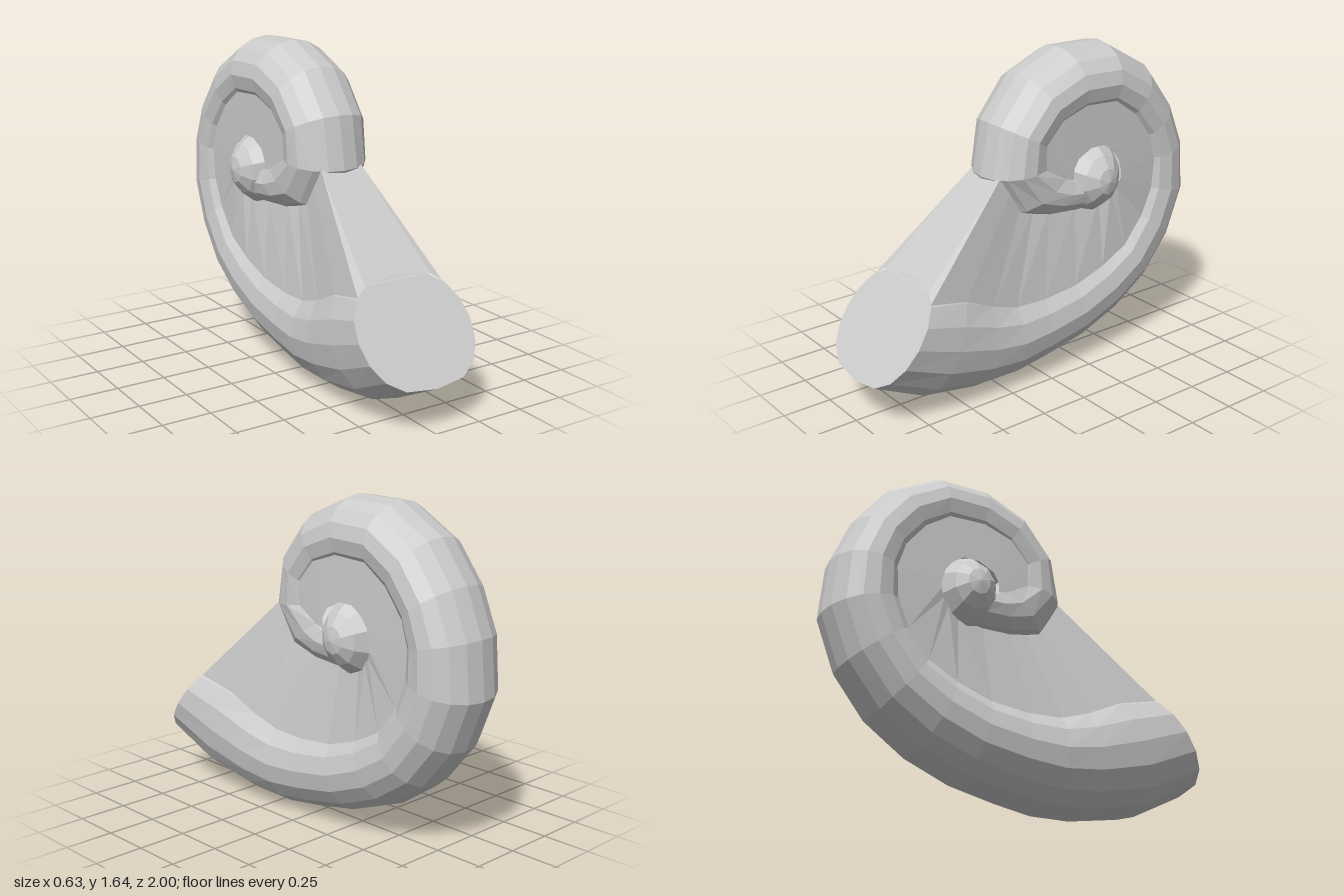
import * as THREE from 'three';

const SIDES = 16;

// Spiral stations from mouth to centre: outer z, y, crease z, y, half width
const STATIONS = [
  [1.0, 0.22, 0.713, 0.61, 0.315], [0.71, 0.07, 0.5, 0.56, 0.298],
  [0.4, 0.01, 0.33, 0.48, 0.28], [0.17, 0.0, 0.18, 0.43, 0.268],
  [-0.03, 0.03, 0.0, 0.42, 0.255], [-0.28, 0.08, -0.2, 0.44, 0.247],
  [-0.52, 0.175, -0.38, 0.5, 0.242], [-0.73, 0.32, -0.53, 0.58, 0.238],
  [-0.9, 0.53, -0.64, 0.72, 0.236], [-1.0, 0.79, -0.7, 0.86, 0.235],
  [-0.975, 1.07, -0.71, 1.02, 0.235], [-0.88, 1.3, -0.67, 1.15, 0.232],
  [-0.73, 1.5, -0.57, 1.28, 0.228], [-0.48, 1.64, -0.44, 1.37, 0.225],
  [-0.21, 1.645, -0.25, 1.38, 0.222], [0.03, 1.54, -0.1, 1.33, 0.22],
  [0.2, 1.33, 0.0, 1.22, 0.215], [0.25, 1.07, 0.0, 1.1, 0.212],
  [0.14, 0.86, -0.12, 1.03, 0.215], [-0.05, 0.81, -0.18, 1.0, 0.225],
  [-0.22, 0.8, -0.26, 0.99, 0.235], [-0.4, 0.81, -0.34, 0.98, 0.225],
  [-0.46, 0.84, -0.36, 0.98, 0.2],
];

// Inner edge of the web, one per outer station: z, y, half width.
// It tucks into the inner turn, then circles the centre boss.
const WEB_INNER = [
  [0.22, 1.08, 0.115], [0.16, 1.0, 0.12], [0.1, 0.92, 0.12], [0.02, 0.89, 0.12],
  [-0.07, 0.87, 0.13], [-0.23, 0.86, 0.14], [-0.37, 0.87, 0.16], [-0.43, 0.89, 0.18],
  [-0.46, 0.92, 0.19], [-0.48, 0.96, 0.2], [-0.48, 1.0, 0.2], [-0.46, 1.07, 0.2],
  [-0.42, 1.12, 0.2], [-0.36, 1.16, 0.2], [-0.28, 1.16, 0.2], [-0.2, 1.12, 0.2],
  [-0.17, 1.07, 0.2], [-0.17, 1.0, 0.2], [-0.2, 0.95, 0.2],
];

// Share of the section, from the outer side, that lies outside the web
const creaseAt = (i) => 0.87 - 0.01 * i;

// Half width of section i at height s (-1 to 1); fuller near the mouth
const sectionWidth = (i, s) =>
  STATIONS[i][4] * Math.pow(Math.sqrt(Math.max(0, 1 - s * s)), Math.min(1, 0.7 + 0.1 * i));

function makeMesh(name, positions, indices, material) {
  let geo = new THREE.BufferGeometry();
  geo.setAttribute('position', new THREE.Float32BufferAttribute(positions, 3));
  geo.setIndex(indices);
  geo = geo.toNonIndexed();
  geo.computeVertexNormals();
  const mesh = new THREE.Mesh(geo, material);
  mesh.name = name;
  return mesh;
}

// Coiled tube with rounded sections and closed ends
function coiledTube(material) {
  const pos = [], idx = [];
  const centres = [];
  STATIONS.forEach(([zo, yo, zc, yc], i) => {
    const hz = (zc - zo) / creaseAt(i) / 2, hy = (yc - yo) / creaseAt(i) / 2;
    centres.push([0, yo + hy, zo + hz]);
    for (let j = 0; j < SIDES; j++) {
      const a = (j / SIDES) * Math.PI * 2 - Math.PI / 2;
      const s = Math.sin(a);
      const side = j < SIDES / 2 ? 1 : -1;
      pos.push(side * sectionWidth(i, s), yo + hy * (1 + s), zo + hz * (1 + s));
    }
  });
  const n = STATIONS.length;
  for (let i = 0; i < n - 1; i++) {
    for (let j = 0; j < SIDES; j++) {
      const k = (j + 1) % SIDES;
      const a = i * SIDES + j, d = i * SIDES + k;
      const b = a + SIDES, c = d + SIDES;
      idx.push(a, b, c, a, c, d);
    }
  }
  // mouth disc and inner end
  const first = n * SIDES, last = first + 1, base = (n - 1) * SIDES;
  pos.push(...centres[0], ...centres[n - 1]);
  for (let j = 0; j < SIDES; j++) {
    const k = (j + 1) % SIDES;
    idx.push(first, j, k, last, base + k, base + j);
  }
  return makeMesh('coiledTube', pos, idx, material);
}

// Web between the turns on both sides, with a sloping strip above the mouth
function coilWeb(material) {
  const pairs = [[[0.69, 0.645, 0.185], WEB_INNER[0]]];
  WEB_INNER.forEach((inner, i) => {
    const [, , z, y] = STATIONS[i];
    pairs.push([[z, y, sectionWidth(i, 2 * creaseAt(i) - 1)], inner]);
  });
  const pos = [], idx = [];
  // four corners per pair: rim left, rim right, inner left, inner right
  for (const pair of pairs) {
    for (const [z, y, x] of pair) pos.push(x, y, z, -x, y, z);
  }
  for (let i = 0; i < pairs.length - 1; i++) {
    const a = 4 * i, b = a + 4;
    idx.push(a, b, b + 2, a, b + 2, a + 2);
    idx.push(a + 1, b + 3, b + 1, a + 1, a + 3, b + 3);
  }
  idx.push(1, 0, 2, 1, 2, 3);
  return makeMesh('coilWeb', pos, idx, material);
}

export function createModel() {
  const material = new THREE.MeshStandardMaterial({ color: 0xcccccc, flatShading: true });
  const group = new THREE.Group();
  group.name = 'spiralShell';
  group.add(coiledTube(material), coilWeb(material));

  // Rounded boss bulging from both sides at the centre of the coil
  const bossGeo = new THREE.SphereGeometry(1, 10, 10);
  bossGeo.rotateZ(Math.PI / 2);
  bossGeo.scale(0.3, 0.22, 0.19);
  const boss = new THREE.Mesh(bossGeo, material);
  boss.name = 'centreBoss';
  boss.position.set(0, 1.0, -0.32);
  group.add(boss);
  return group;
}
